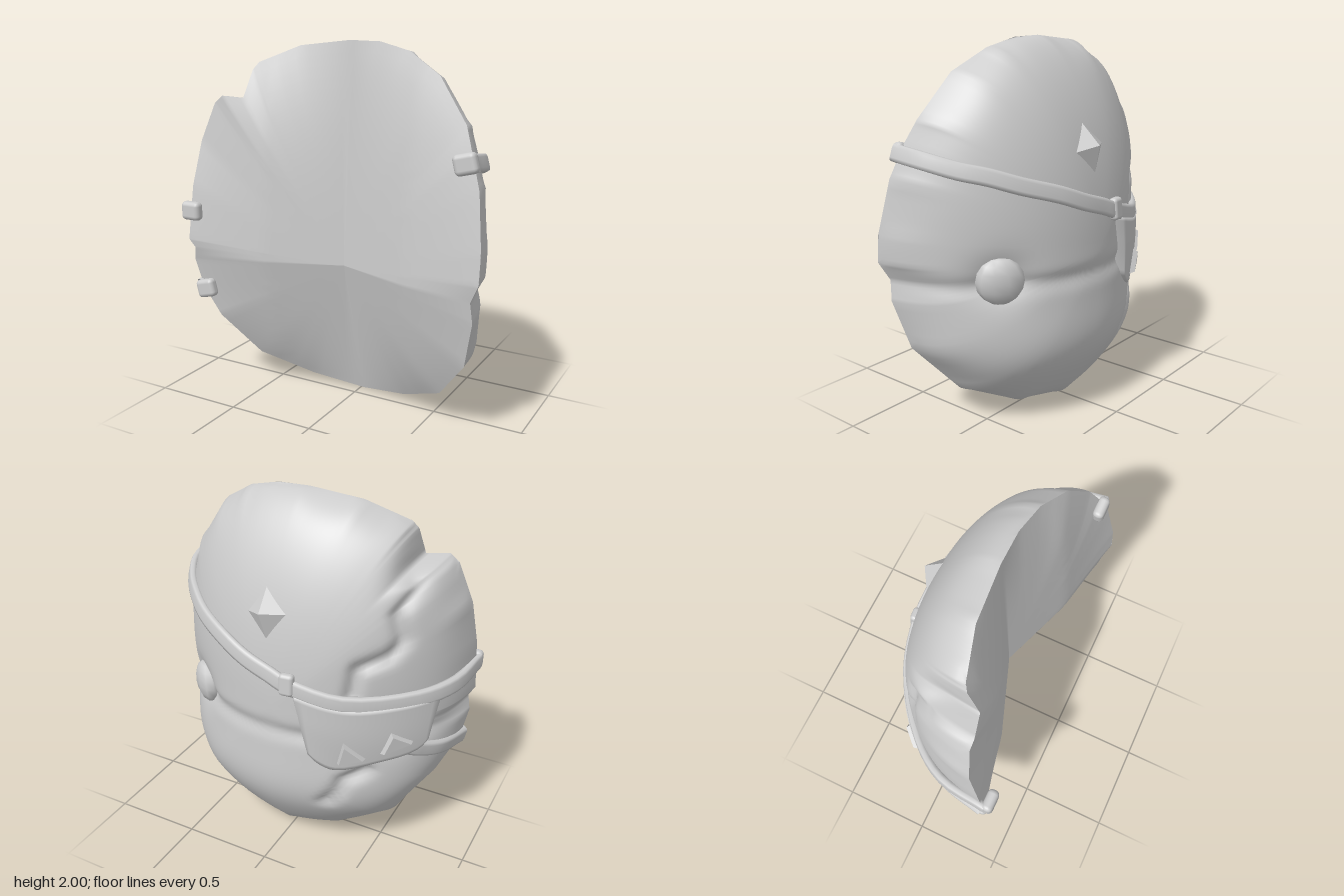
import * as THREE from 'three';
import { RoundedBoxGeometry } from 'three/addons/geometries/RoundedBoxGeometry.js';

const CY = 0.95, BACK = -0.39;

// rim depth by height, with chipped corner points overriding it
const RIM_Z = [[0, -0.08], [0.05, -0.02], [0.18, 0.12], [0.43, 0.27], [0.7, 0.34], [0.8, 0.35],
  [0.9, 0.38], [1.1, 0.36], [1.45, 0.28], [1.65, 0.2], [1.85, 0.14], [2, 0.05]];
const rimZ = (y) => {
  for (let i = 1; i < RIM_Z.length; i++) {
    const [y0, z0] = RIM_Z[i - 1], [y1, z1] = RIM_Z[i];
    if (y <= y1) return z0 + (z1 - z0) * (y - y0) / (y1 - y0);
  }
  return 0.05;
};
const toRim = ([x, y, z]) => new THREE.Vector3(x, y, z ?? rimZ(y));
const RIM = [[0, 2], [0.18, 1.995], [0.36, 1.95], [0.55, 1.84], [0.72, 1.62], [0.77, 1.5], [0.83, 1.33],
  [0.87, 1.05], [0.87, 0.9], [0.82, 0.8], [0.83, 0.69], [0.77, 0.43], [0.58, 0.18], [0.31, 0.05], [0.02, 0],
  [-0.29, 0.05], [-0.57, 0.18], [-0.74, 0.43], [-0.82, 0.6], [-0.85, 0.77], [-0.83, 0.85], [-0.86, 0.9],
  [-0.85, 1.2], [-0.82, 1.45], [-0.74, 1.66, 0.25], [-0.69, 1.7, 0.25], [-0.57, 1.69, 0.22],
  [-0.55, 1.84, 0.15], [-0.52, 1.88, 0.13], [-0.29, 1.97]].map(toRim);

// unbroken, smooth outline that shapes the dome
const OUTLINE = new THREE.CatmullRomCurve3([[0, 2], [0.36, 1.95], [0.57, 1.83], [0.72, 1.62], [0.83, 1.33],
  [0.87, 1], [0.84, 0.7], [0.76, 0.43], [0.58, 0.18], [0.31, 0.05], [0, 0], [-0.31, 0.05], [-0.57, 0.18],
  [-0.74, 0.43], [-0.84, 0.7], [-0.87, 1], [-0.83, 1.4], [-0.73, 1.66], [-0.54, 1.86], [-0.29, 1.97]].map(toRim), true)
  .getPoints(100);
const cross = (ax, ay, bx, by) => ax * by - ay * bx;
function domeZ(x, y) {
  const dx = x, dy = y - CY, len = dx * dx + dy * dy;
  if (len < 1e-8) return BACK;
  for (let i = 0; i < OUTLINE.length - 1; i++) {
    const a = OUTLINE[i], b = OUTLINE[i + 1];
    const u = -cross(a.x, a.y - CY, dx, dy) / cross(b.x - a.x, b.y - a.y, dx, dy);
    if (!(u >= -1e-6 && u <= 1 + 1e-6)) continue;
    const p = a.clone().lerp(b, u);
    const k = (p.x * dx + (p.y - CY) * dy) / len;
    if (k <= 0) continue;
    const s = Math.min(1, 1 / k);
    return BACK + (p.z - BACK) * (0.85 * (1 - Math.sqrt(1 - s * s)) + 0.15 * s * s);
  }
  return BACK;
}
const normalAt = (p) => new THREE.Vector3(p.x / 0.76, (p.y - CY) * 0.6, (p.z - 0.36) / 0.6).normalize();
const onDome = (x, y, off = 0) => {
  const p = new THREE.Vector3(x, y, domeZ(x, y));
  return p.addScaledVector(normalAt(p), off);
};

// carved details: cracks, mouth crease, eye sockets, fuller jaw
const CRACKS = [
  [[-0.57, 1.69], [-0.65, 1.62], [-0.58, 1.5], [-0.62, 1.36], [-0.57, 1.285], [-0.43, 1.22], [-0.41, 1.06]],
  [[-0.47, 0.6], [-0.37, 0.55], [-0.34, 0.48], [-0.28, 0.4]],
];
function crackDistance(x, y) {
  let best = 9;
  for (const c of CRACKS) for (let i = 1; i < c.length; i++) {
    const [ax, ay] = c[i - 1], [bx, by] = c[i], ex = bx - ax, ey = by - ay;
    const t = THREE.MathUtils.clamp(((x - ax) * ex + (y - ay) * ey) / (ex * ex + ey * ey), 0, 1);
    best = Math.min(best, Math.hypot(x - ax - ex * t, y - ay - ey * t));
  }
  return best;
}
const bell = (d, w) => Math.exp(-(d * d) / (w * w));
const carve = (x, y) => 0.035 * bell(crackDistance(x, y), 0.035)
  + 0.02 * bell(y - 0.8, 0.045)
  + 0.05 * bell(Math.hypot(Math.abs(x) - 0.57, y - 0.83), 0.12)
  - 0.06 * bell(y - 0.42, 0.24);

// inside face: a shallow valley with a ridge across it
function insideZ(x, y) {
  const middle = y > 0.8 ? 0.12 - (y - 0.8) * 0.058 : 0.12 - (0.8 - y) * 0.25;
  const a = Math.abs(x);
  return middle + (a < 0.43 ? a * 0.36 : 0.155 + (a - 0.43) * 0.2);
}

function buffer(pos, index) {
  const g = new THREE.BufferGeometry();
  g.setAttribute('position', new THREE.Float32BufferAttribute(pos, 3));
  g.setIndex(index);
  g.computeVertexNormals();
  return g;
}
// surface of closed rings shrinking from the rim to a centre point
function ringSurface(rings, place, flip) {
  const sub = 6, cols = RIM.length * sub, pos = [], index = [];
  for (let j = 0; j <= rings; j++) for (let i = 0; i < cols; i++) {
    const k = Math.floor(i / sub);
    const r = RIM[k].clone().lerp(RIM[(k + 1) % RIM.length], (i % sub) / sub);
    pos.push(...place(r, j / rings).toArray());
  }
  for (let j = 0; j < rings; j++) for (let i = 0; i < cols; i++) {
    const a = j * cols + i, b = j * cols + (i + 1) % cols, c = a + cols, d = b + cols;
    if (flip) index.push(a, c, b, b, c, d); else index.push(a, b, c, b, d, c);
  }
  return buffer(pos, index);
}

// flat band with a rounded section that hugs the dome
function strapGeometry(points) {
  const curve = new THREE.CatmullRomCurve3(points.map(([x, y, z]) =>
    z === undefined ? onDome(x, y, 0.012) : new THREE.Vector3(x, y, z)));
  const n = 48, sides = 10, pos = [], index = [];
  for (let i = 0; i <= n; i++) {
    const p = curve.getPoint(i / n), t = curve.getTangent(i / n);
    const side = new THREE.Vector3().crossVectors(t, normalAt(p)).normalize();
    const out = new THREE.Vector3().crossVectors(side, t).normalize();
    for (let k = 0; k < sides; k++) {
      const a = k / sides * Math.PI * 2, c = Math.cos(a), s = Math.sin(a);
      pos.push(...p.clone().addScaledVector(side, 0.045 * Math.sign(c) * Math.sqrt(Math.abs(c)))
        .addScaledVector(out, 0.022 * Math.sign(s) * Math.sqrt(Math.abs(s))).toArray());
    }
  }
  for (let i = 0; i < n; i++) for (let k = 0; k < sides; k++) {
    const a = i * sides + k, b = i * sides + (k + 1) % sides;
    index.push(a, b, a + sides, b, b + sides, a + sides);
  }
  return buffer(pos, index);
}

// puffed eye patch between an upper and a lower edge
function patchGeometry() {
  const edge = (pts) => new THREE.CatmullRomCurve3(pts.map(([x, y]) => new THREE.Vector3(x, y, 0)));
  const top = edge([[-0.1, 1.08], [-0.37, 1.02], [-0.62, 1.02], [-0.78, 1.03]]);
  const bottom = edge([[-0.2, 0.72], [-0.25, 0.65], [-0.33, 0.605], [-0.52, 0.65], [-0.68, 0.7], [-0.73, 0.78]]);
  const n = 20, pos = [], index = [];
  for (let j = 0; j <= n; j++) for (let i = 0; i <= n; i++) {
    const p = top.getPoint(i / n).lerp(bottom.getPoint(i / n), j / n);
    const border = i === 0 || j === 0 || i === n || j === n;
    pos.push(...onDome(p.x, p.y, border ? -0.02 : 0.035).toArray());
  }
  for (let j = 0; j < n; j++) for (let i = 0; i < n; i++) {
    const a = j * (n + 1) + i, c = a + n + 1;
    index.push(a, c, a + 1, a + 1, c, c + 1);
  }
  return buffer(pos, index);
}

// raised triangle with bevelled sides
function toothGeometry(pts) {
  const shape = new THREE.Shape(pts.map(([x, y]) => new THREE.Vector2(x, y)));
  const g = new THREE.ExtrudeGeometry(shape, { depth: 0.05, bevelEnabled: false });
  const cx = (pts[0][0] + pts[1][0] + pts[2][0]) / 3, cy = (pts[0][1] + pts[1][1] + pts[2][1]) / 3;
  const p = g.attributes.position;
  for (let i = 0; i < p.count; i++) {
    const outer = p.getZ(i) < 0.01, k = outer ? 0.85 : 1.15;
    const x = cx + (p.getX(i) - cx) * k, y = cy + (p.getY(i) - cy) * k;
    p.setXYZ(i, ...onDome(x, y, outer ? 0.062 : 0.025).toArray());
  }
  g.computeVertexNormals();
  return g;
}

export function createModel() {
  const group = new THREE.Group();
  const grey = new THREE.MeshStandardMaterial({ color: 0xcccccc, side: THREE.DoubleSide });
  grey.name = 'pale grey';
  const add = (name, geometry, position) => {
    const m = new THREE.Mesh(geometry, grey);
    m.name = name;
    if (position) m.position.copy(position);
    group.add(m);
    return m;
  };
  const addOnDome = (name, geometry, x, y, off) => {
    const p = onDome(x, y, off);
    add(name, geometry, p).lookAt(p.clone().add(normalAt(p)));
  };

  // mask shell
  add('maskFace', ringSurface(56, (r, v) => {
    const s = Math.sin((1 - v) * Math.PI / 2);
    const p = new THREE.Vector3(r.x * s, CY + (r.y - CY) * s, 0);
    p.z = domeZ(p.x, p.y) + (r.z - domeZ(r.x, r.y)) * s ** 24;
    return p.addScaledVector(normalAt(p), -carve(p.x, p.y) * (1 - s ** 12));
  }, false));
  add('maskInside', ringSurface(20, (r, v) => {
    const s = 1 - v, x = r.x * s, y = 0.8 + (r.y - 0.8) * s;
    return new THREE.Vector3(x, y, insideZ(x, y) + (r.z - insideZ(r.x, r.y)) * s ** 4);
  }, true));

  // open eye and forehead gem
  addOnDome('eye', new THREE.SphereGeometry(0.125, 10, 8).scale(1, 1, 0.5), 0.57, 0.83, -0.025);
  const gem = new THREE.ConeGeometry(0.175, 0.1, 4).rotateX(Math.PI / 2).scale(0.85, 1, 1).rotateZ(0.12).toNonIndexed();
  gem.computeVertexNormals();
  addOnDome('foreheadGem', gem, 0.05, 1.45, 0.02);

  // straps, patch and triangles
  add('upperStrap', strapGeometry([[0.8, 1.46, 0.3], [0.765, 1.43], [0.69, 1.39], [0.6, 1.36], [0.48, 1.31],
    [0.3, 1.25], [0.15, 1.19], [0, 1.14], [-0.1, 1.1], [-0.37, 1.03], [-0.68, 1.03], [-0.81, 1.05], [-0.86, 1.07, 0.38]]));
  add('lowerStrap', strapGeometry([[-0.64, 0.74], [-0.7, 0.7], [-0.77, 0.66], [-0.83, 0.61, 0.33]]));
  add('eyePatch', patchGeometry());
  add('patchTriangle', toothGeometry([[-0.35, 0.675], [-0.47, 0.705], [-0.38, 0.805]]));
  add('patchTriangle', toothGeometry([[-0.54, 0.735], [-0.66, 0.785], [-0.58, 0.855]]));

  // strap ends hooked over the rim, and the clasp
  for (const [x, y, z, tilt] of [[0.75, 1.45, 0.285, 0.25], [-0.82, 1.07, 0.39, 0], [-0.78, 0.61, 0.34, 0.25]]) {
    add('strapEnd', new RoundedBoxGeometry(0.12, 0.105, 0.06, 2, 0.025), new THREE.Vector3(x, y, z)).rotation.z = tilt;
  }
  addOnDome('clasp', new RoundedBoxGeometry(0.08, 0.12, 0.05, 2, 0.02), -0.1, 1.11, 0.018);
  return group;
}
